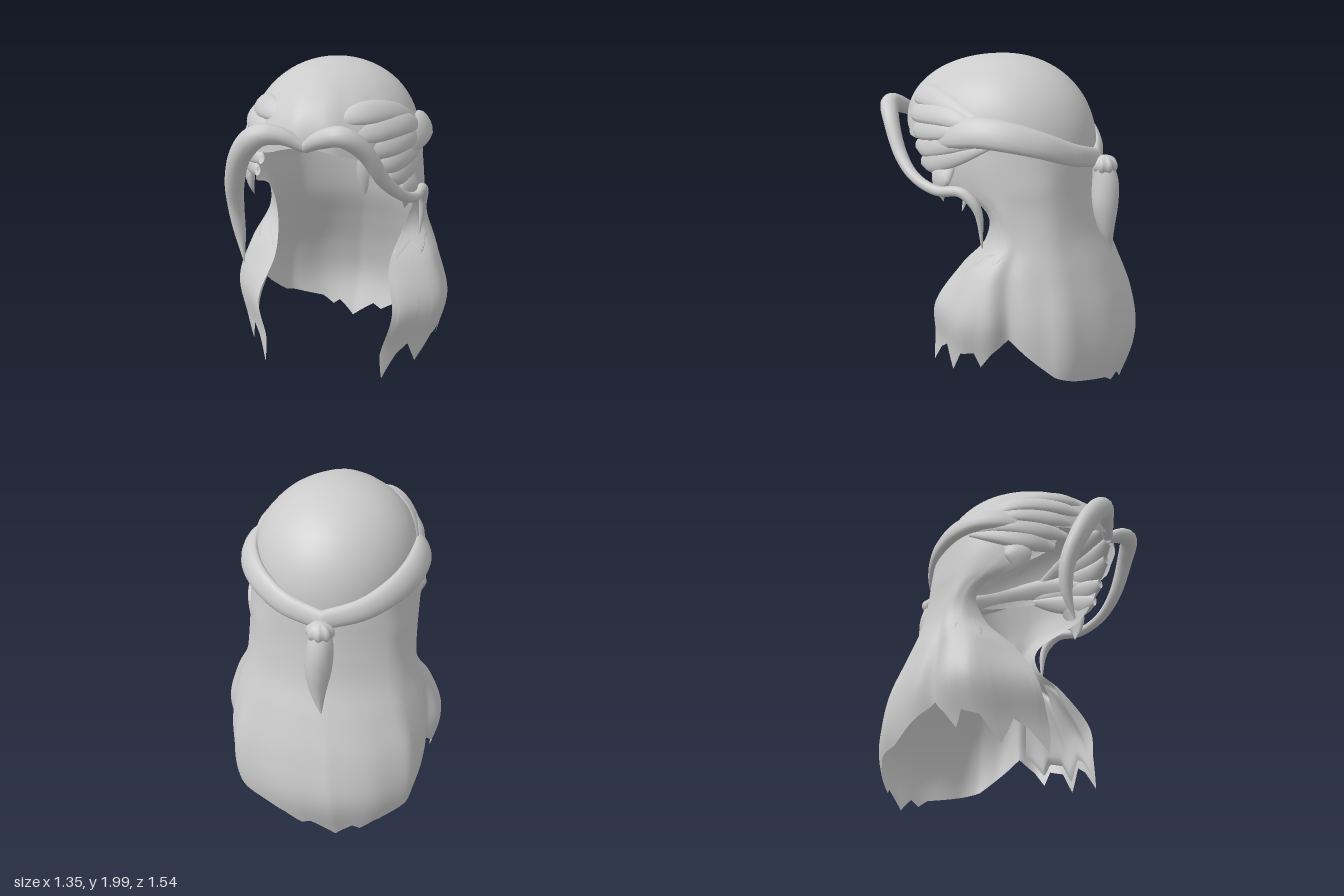
import * as THREE from 'three';

const mat = new THREE.MeshStandardMaterial({ color: 0xcccccc, side: THREE.DoubleSide });
const V = (a) => new THREE.Vector3(...a);

// Surface from a rule f(u, v) -> Vector3, with u optionally closed
function grid(name, nu, nv, closed, f) {
  const pos = [], idx = [], cols = closed ? nu : nu + 1;
  for (let j = 0; j <= nv; j++)
    for (let i = 0; i < cols; i++) pos.push(...f(i / nu, j / nv).toArray());
  for (let j = 0; j < nv; j++)
    for (let i = 0; i < nu; i++) {
      const i2 = (i + 1) % cols, a = j * cols + i, b = j * cols + i2;
      idx.push(a, b, a + cols, b, b + cols, a + cols);
    }
  const g = new THREE.BufferGeometry();
  g.setAttribute('position', new THREE.Float32BufferAttribute(pos, 3));
  g.setIndex(idx);
  g.computeVertexNormals();
  const mesh = new THREE.Mesh(g, mat);
  mesh.name = name;
  return mesh;
}

// Tapered lock of hair along a path; its flat side faces away from the head
function lock(name, points, widths, flat = 1, segs = 32) {
  const curve = new THREE.CatmullRomCurve3(points.map(V));
  const w = new THREE.CubicInterpolant(widths.map((_, i) => i / (widths.length - 1)), widths, 1, new Float32Array(1));
  return grid(name, 14, segs, true, (u, v) => {
    const p = curve.getPoint(v), t = curve.getTangent(v);
    const out = p.clone().sub(V([0, 1.35, 0]));
    out.addScaledVector(t, -out.dot(t)).normalize();
    const side = t.clone().cross(out);
    const r = Math.max(w.evaluate(v)[0], 0.002), a = u * Math.PI * 2;
    return p.addScaledVector(out, Math.cos(a) * r * flat).addScaledVector(side, Math.sin(a) * r);
  });
}

// Domed top of the hair
function cap() {
  return grid('crownHair', 64, 24, true, (u, v) => {
    const a = u * Math.PI * 2, c = Math.cos(a), s = -Math.sin(a), t = v * Math.PI / 2;
    const rim = 1.52 + 0.09 * Math.max(0, c) ** 8 - 0.08 * Math.max(0, -c) ** 2;
    const r = Math.sin(t) * (1 + 0.012 * v * Math.sin(a * 16) * Math.max(0, c));
    const x = 0.485 * s * r, z = 0.06 + (c > 0 ? 0.61 : 0.555) * c * r;
    return V([x, rim + (2 - rim) * Math.cos(t) ** 0.9, z]);
  });
}

// Long hair: half cross-sections by height, back centre to front edge
// y: back z, then x, z of corner, side, cheek and front edge
const sections = [
  [0.0, -0.67, 0.38, -0.57, 0.52, -0.28, 0.54, 0.08, 0.33, 0.45],
  [0.3, -0.76, 0.48, -0.58, 0.58, -0.28, 0.61, 0.06, 0.36, 0.38],
  [0.55, -0.72, 0.47, -0.56, 0.61, -0.28, 0.67, 0.03, 0.42, 0.34],
  [0.8, -0.63, 0.41, -0.5, 0.57, -0.25, 0.59, 0.0, 0.36, 0.18],
  [1.0, -0.55, 0.37, -0.44, 0.5, -0.25, 0.5, -0.1, 0.41, 0.0],
  [1.2, -0.51, 0.36, -0.4, 0.49, -0.17, 0.49, -0.05, 0.46, 0.03],
  [1.28, -0.5, 0.36, -0.39, 0.49, -0.15, 0.49, 0.08, 0.44, 0.26],
  [1.4, -0.49, 0.35, -0.38, 0.49, -0.1, 0.48, 0.18, 0.36, 0.42],
  [1.58, -0.46, 0.34, -0.36, 0.47, -0.08, 0.46, 0.22, 0.35, 0.46],
];
// Ragged lower edge: position round the half-section, height
const hem = [
  [0, 0.01], [0.07, 0.11], [0.1, 0.08], [0.14, 0.14], [0.25, 0.2], [0.35, 0.25], [0.45, 0.35],
  [0.55, 0.45], [0.62, 0.37], [0.67, 0.27], [0.7, 0.36], [0.77, 0.33], [0.82, 0.18],
  [0.87, 0.32], [0.91, 0.27], [0.96, 0.14], [1, 0.3],
];
const shape = new THREE.CubicInterpolant(sections.map((s) => s[0]), sections.flatMap((s) => s.slice(1)), 9, new Float32Array(9));
const edge = new THREE.LinearInterpolant(hem.map((h) => h[0]), hem.flatMap((h) => [h[1]]), 1, new Float32Array(1));

// Point of the long hair; u runs from -1 (right front edge) over 0 (back) to 1
function hairPoint(u, v) {
  const a = Math.abs(u), sgn = u < 0 ? -1 : 1;
  const top = 1.58 - 0.13 * (1 - a) ** 2;
  const y = THREE.MathUtils.lerp(top, edge.evaluate(a)[0], v);
  const s = [...shape.evaluate(y)];
  const pts = [[-s[1], s[2]], [0, s[0]]];
  for (let k = 1; k < 9; k += 2) pts.push([s[k], s[k + 1]]);
  // Uniform spline through the half-section, mirrored at the back
  const n = Math.min(Math.floor(a * 4), 3), f = a * 4 - n;
  const spline = (k) => {
    const [p0, p1, p2, p3] = [0, 1, 2, 3].map((d) => pts[Math.min(n + d, 5)][k]);
    return p1 + 0.5 * f * (p2 - p0 + f * (2 * p0 - 5 * p1 + 4 * p2 - p3 + f * (3 * (p1 - p2) + p3 - p0)));
  };
  // Furrow between the back and cheek locks, and fine strand ripples
  const low = THREE.MathUtils.smoothstep(1.1 - y, 0, 0.6);
  const k = 1 - low * (0.07 * Math.exp(-(((a - 0.55) / 0.05) ** 2)) + 0.006 * Math.sin(a * 38));
  return V([spline(0) * k * sgn - 0.1 * low * Math.max(0, 1 - a * 3) * v, y, spline(1) * k]);
}

export function createModel() {
  const group = new THREE.Group();
  group.name = 'hair';
  group.add(cap(), grid('longHair', 200, 36, false, (u, v) => hairPoint(u * 2 - 1, v)));

  for (const s of [1, -1]) {
    const m = (pts) => pts.map(([x, y, z]) => [x * s, y, z]);
    // Inner face that gives the cheek locks their thickness
    group.add(grid('cheekLockInside', 40, 24, false, (u, v) => {
      const a = 0.58 + 0.42 * u, w = 0.45 + 0.5 * v;
      const outer = hairPoint(s * a, w);
      const chord = hairPoint(s * 0.58, w).lerp(hairPoint(s, w), u);
      chord.y = outer.y;
      return outer.lerp(chord, 0.6 * Math.sin(Math.PI * Math.min(1, (1 - v) * 1.2)) ** 0.5);
    }));
    // Band running from the temple to the back knot
    group.add(lock('band', m([[0.43, 1.54, 0.32], [0.48, 1.59, 0.16], [0.495, 1.61, 0], [0.47, 1.59, -0.17],
      [0.38, 1.54, -0.33], [0.22, 1.47, -0.45], [0, 1.42, -0.52]]), [0.05, 0.085, 0.09, 0.085, 0.075, 0.065, 0.055], 0.5, 40));
    // Swept locks fanning back from the hairline into the band
    const roots = [
      [[0.12, 1.74, 0.58], [0.27, 1.77, 0.46], [0.4, 1.74, 0.24]],
      [[0.1, 1.65, 0.62], [0.32, 1.68, 0.46], [0.45, 1.68, 0.22]],
      [[0.2, 1.58, 0.57], [0.37, 1.59, 0.42], [0.47, 1.61, 0.2]],
      [[0.31, 1.48, 0.49], [0.41, 1.5, 0.37], [0.48, 1.54, 0.18]],
      [[0.36, 1.39, 0.43], [0.44, 1.42, 0.32], [0.485, 1.48, 0.14]],
    ];
    roots.forEach((r, i) => group.add(lock('sweptLock', m([...r, [0.485, 1.62 - i * 0.02, -0.06]]),
      [0.03, 0.07, 0.065, 0.02], 0.5, 20)));
    // Small lock hanging in front of the ear
    group.add(lock('templeLock', m([[0.46, 1.42, 0.2], [0.48, 1.34, 0.25], [0.475, 1.26, 0.26], [0.46, 1.19, 0.25]]),
      [0.05, 0.08, 0.05, 0.003], 0.4, 14));
  }

  // Loose forelocks: one hangs forward, the other wraps round the temple
  group.add(lock('leftForelock', [[0.0, 1.61, 0.65], [0.1, 1.67, 0.7], [0.22, 1.7, 0.72], [0.32, 1.62, 0.66], [0.41, 1.43, 0.55],
    [0.48, 1.32, 0.42], [0.52, 1.265, 0.26], [0.53, 1.27, 0.1], [0.52, 1.18, 0.01], [0.5, 0.95, -0.01]],
  [0.03, 0.05, 0.055, 0.045, 0.035, 0.03, 0.03, 0.028, 0.004], 1, 60));
  group.add(lock('rightForelock', [[0.0, 1.61, 0.65], [-0.12, 1.67, 0.68], [-0.24, 1.67, 0.7], [-0.35, 1.57, 0.67],
    [-0.43, 1.38, 0.6], [-0.455, 1.2, 0.54], [-0.44, 1.03, 0.53], [-0.41, 0.88, 0.56]],
  [0.03, 0.05, 0.065, 0.06, 0.05, 0.035, 0.004], 1, 50));

  // Knot and short tail at the back
  const knot = grid('knot', 32, 12, true, (u, v) => {
    const a = u * Math.PI * 2, t = v * Math.PI, r = Math.sin(t) * (1 + 0.1 * Math.cos(a * 8));
    return V([-0.075 * Math.sin(a) * r, 1.38 + 0.06 * Math.cos(t), -0.57 + 0.07 * Math.cos(a) * r]);
  });
  group.add(knot, lock('backTail', [[0, 1.41, -0.55], [0, 1.28, -0.575], [0.01, 1.14, -0.58], [0.01, 1.0, -0.595], [-0.01, 0.87, -0.62]],
    [0.05, 0.075, 0.075, 0.045, 0.004], 1.05, 24));
  return group;
}
